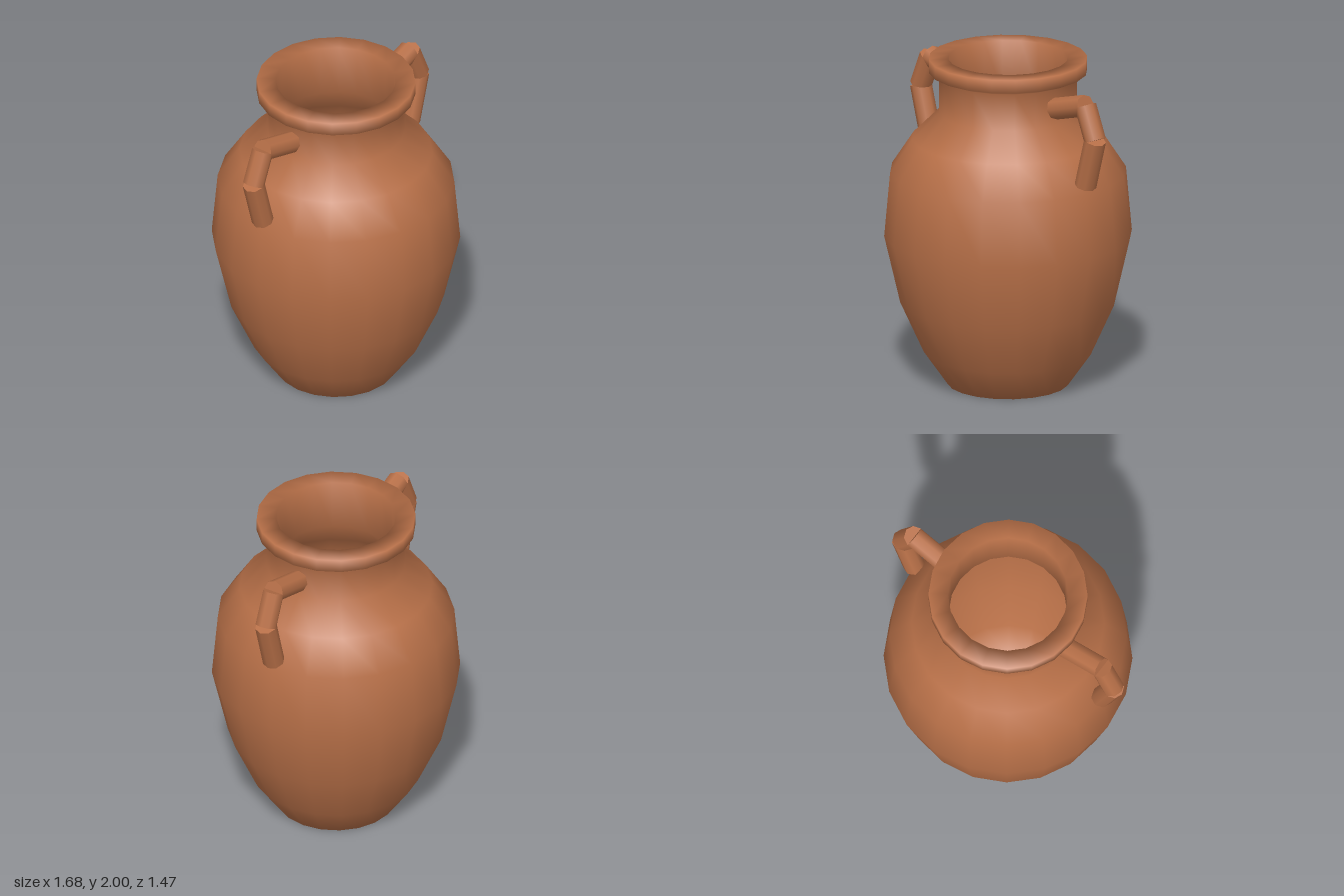
import * as THREE from 'three';

export function createModel() {
  const clay = new THREE.MeshStandardMaterial({ color: 0xb87048 });
  clay.name = 'terracotta';
  const model = new THREE.Group();
  model.name = 'twoHandledJar';

  // Hollow body: outer wall up to the lip, then the inner wall down to the floor
  const profile = [
    [0, 0], [0.36, 0], [0.5, 0.2], [0.64, 0.51], [0.735, 0.92], [0.7, 1.31],
    [0.57, 1.51], [0.41, 1.67], [0.41, 1.895], [0.47, 1.92], [0.47, 2],
    [0.355, 2], [0.35, 1.69], [0.52, 1.48], [0.64, 1.28], [0.675, 0.92],
    [0.585, 0.53], [0.45, 0.23], [0.34, 0.05], [0, 0.05],
  ].map(([r, y]) => new THREE.Vector2(r, y));
  const body = new THREE.Mesh(new THREE.LatheGeometry(profile, 20), clay);
  body.name = 'jarBody';
  model.add(body);

  // Handles: three straight rods joined end to end on each side
  const joints = [[0.42, 1.78], [0.69, 1.86], [0.776, 1.663], [0.69, 1.365]];
  const up = new THREE.Vector3(0, 1, 0);
  for (const side of [1, -1]) {
    const handle = new THREE.Group();
    handle.name = side > 0 ? 'leftHandle' : 'rightHandle';
    const points = joints.map(([x, y]) => new THREE.Vector3(side * x, y, 0));
    for (let i = 0; i < 3; i++) {
      const along = points[i + 1].clone().sub(points[i]);
      const rod = new THREE.Mesh(new THREE.CylinderGeometry(0.065, 0.065, along.length(), 8), clay);
      rod.name = 'handleRod' + (i + 1);
      rod.position.copy(points[i]).addScaledVector(along, 0.5);
      rod.quaternion.setFromUnitVectors(up, along.normalize());
      handle.add(rod);
    }
    model.add(handle);
  }
  return model;
}
